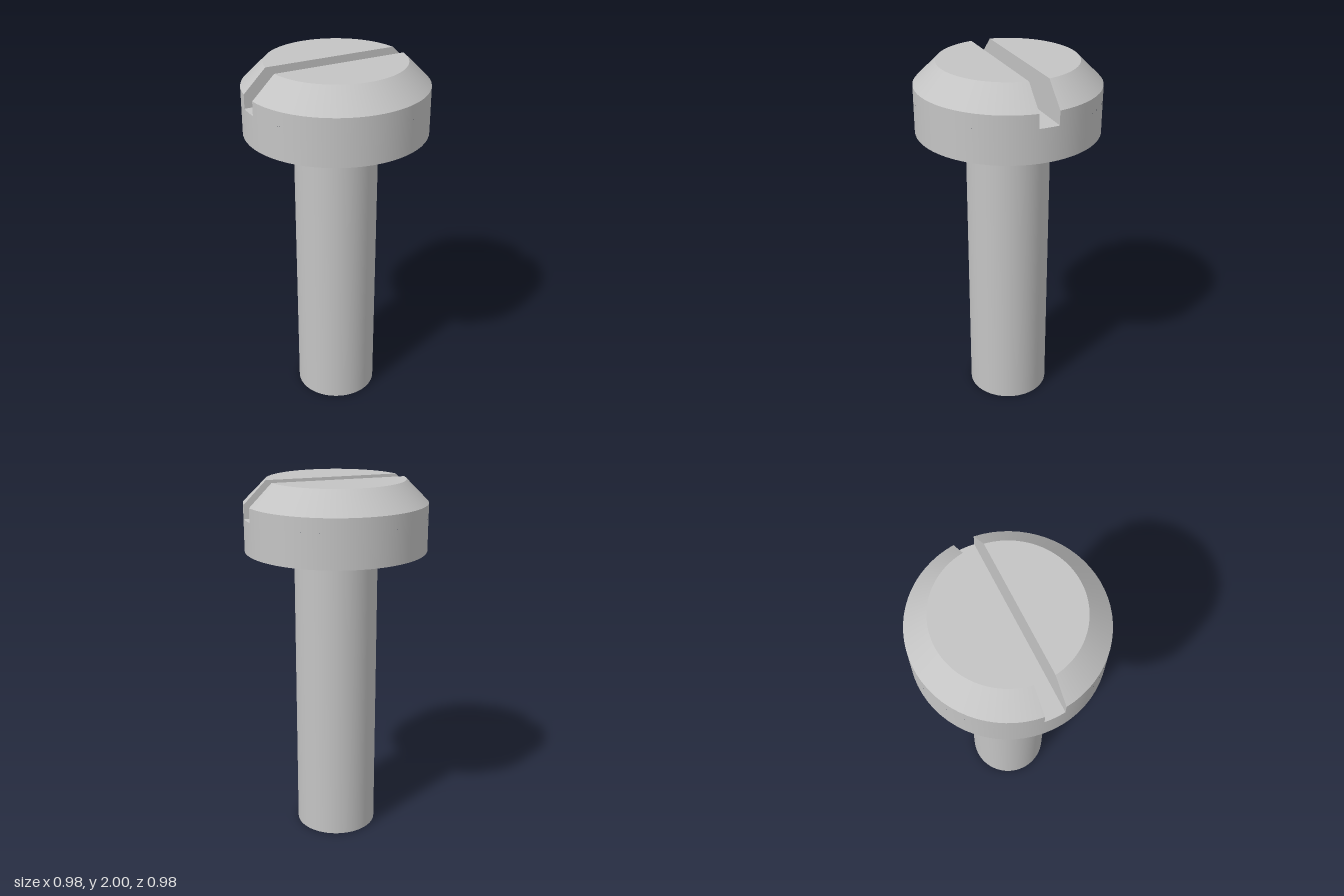
import * as THREE from 'three';
import { mergeGeometries } from 'three/addons/utils/BufferGeometryUtils.js';

const SHAFT_R = 0.225, HEAD_R = 0.49, TOP_R = 0.37;
const HEAD_Y = 1.625, SLOT_Y = 1.805, CHAMFER_Y = 1.88, TOP_Y = 2;
const SLOT_HALF = 0.054, SEGMENTS = 64;

// Angle at which a circle of radius r meets the slot wall
const slotAngle = (r) => Math.asin(SLOT_HALF / r);

// Smooth conical band on one side of the slot
function halfBand(r0, y0, r1, y1) {
  const position = [], normal = [], uv = [], index = [], n = SEGMENTS / 2;
  const len = Math.hypot(r1 - r0, y1 - y0);
  const ny = (r0 - r1) / len, nr = (y1 - y0) / len;
  for (let i = 0; i <= n; i++) {
    [[r0, y0], [r1, y1]].forEach(([r, y], k) => {
      const a = slotAngle(r), t = a + (Math.PI - 2 * a) * i / n;
      position.push(r * Math.cos(t), y, -r * Math.sin(t));
      normal.push(nr * Math.cos(t), ny, -nr * Math.sin(t));
      uv.push(i / n, k);
    });
    if (i < n) {
      const b = i * 2;
      index.push(b, b + 2, b + 3, b, b + 3, b + 1);
    }
  }
  const g = new THREE.BufferGeometry();
  g.setAttribute('position', new THREE.Float32BufferAttribute(position, 3));
  g.setAttribute('normal', new THREE.Float32BufferAttribute(normal, 3));
  g.setAttribute('uv', new THREE.Float32BufferAttribute(uv, 2));
  g.setIndex(index);
  return g;
}

// Flat horizontal face facing up
const flat = (shape, y) =>
  new THREE.ShapeGeometry(shape, SEGMENTS / 2).rotateX(-Math.PI / 2).translate(0, y, 0);

// Open cylinder wall between two heights
const wall = (r, y0, y1) =>
  new THREE.CylinderGeometry(r, r, y1 - y0, SEGMENTS, 1, true).translate(0, (y0 + y1) / 2, 0);

export function createModel() {
  const group = new THREE.Group();
  const steel = new THREE.MeshStandardMaterial({ color: 0xc4c4c4 });
  steel.name = 'steel grey';
  const add = (name, parts) => {
    const mesh = new THREE.Mesh(mergeGeometries(parts), steel);
    mesh.name = name;
    group.add(mesh);
    return mesh;
  };

  // Plain shaft with a flat end
  add('shaft', [
    wall(SHAFT_R, 0, HEAD_Y),
    new THREE.CircleGeometry(SHAFT_R, SEGMENTS).rotateX(Math.PI / 2),
  ]);

  // Lower head, up to the slot floor
  add('headBase', [
    wall(HEAD_R, HEAD_Y, SLOT_Y),
    new THREE.RingGeometry(SHAFT_R, HEAD_R, SEGMENTS).rotateX(Math.PI / 2).translate(0, HEAD_Y, 0),
  ]);

  // Slot floor, rounded at both ends
  const a = slotAngle(HEAD_R);
  const floor = new THREE.Shape();
  floor.absarc(0, 0, HEAD_R, -a, a, false);
  floor.absarc(0, 0, HEAD_R, Math.PI - a, Math.PI + a, false);
  add('slotFloor', [flat(floor, SLOT_Y)]);

  // Two chamfered head halves either side of the slot
  const b = slotAngle(TOP_R);
  const cap = new THREE.Shape();
  cap.absarc(0, 0, TOP_R, b, Math.PI - b, false);
  const xo = HEAD_R * Math.cos(a), xi = TOP_R * Math.cos(b);
  const side = new THREE.Shape([
    [-xo, SLOT_Y], [xo, SLOT_Y], [xo, CHAMFER_Y], [xi, TOP_Y], [-xi, TOP_Y], [-xo, CHAMFER_Y],
  ].map(([x, y]) => new THREE.Vector2(x, y)));
  for (const [name, turn] of [['backHeadHalf', 0], ['frontHeadHalf', Math.PI]]) {
    add(name, [
      halfBand(HEAD_R, SLOT_Y, HEAD_R, CHAMFER_Y),
      halfBand(HEAD_R, CHAMFER_Y, TOP_R, TOP_Y),
      flat(cap, TOP_Y),
      new THREE.ShapeGeometry(side).translate(0, 0, -SLOT_HALF),
    ]).rotation.y = turn;
  }
  return group;
}
